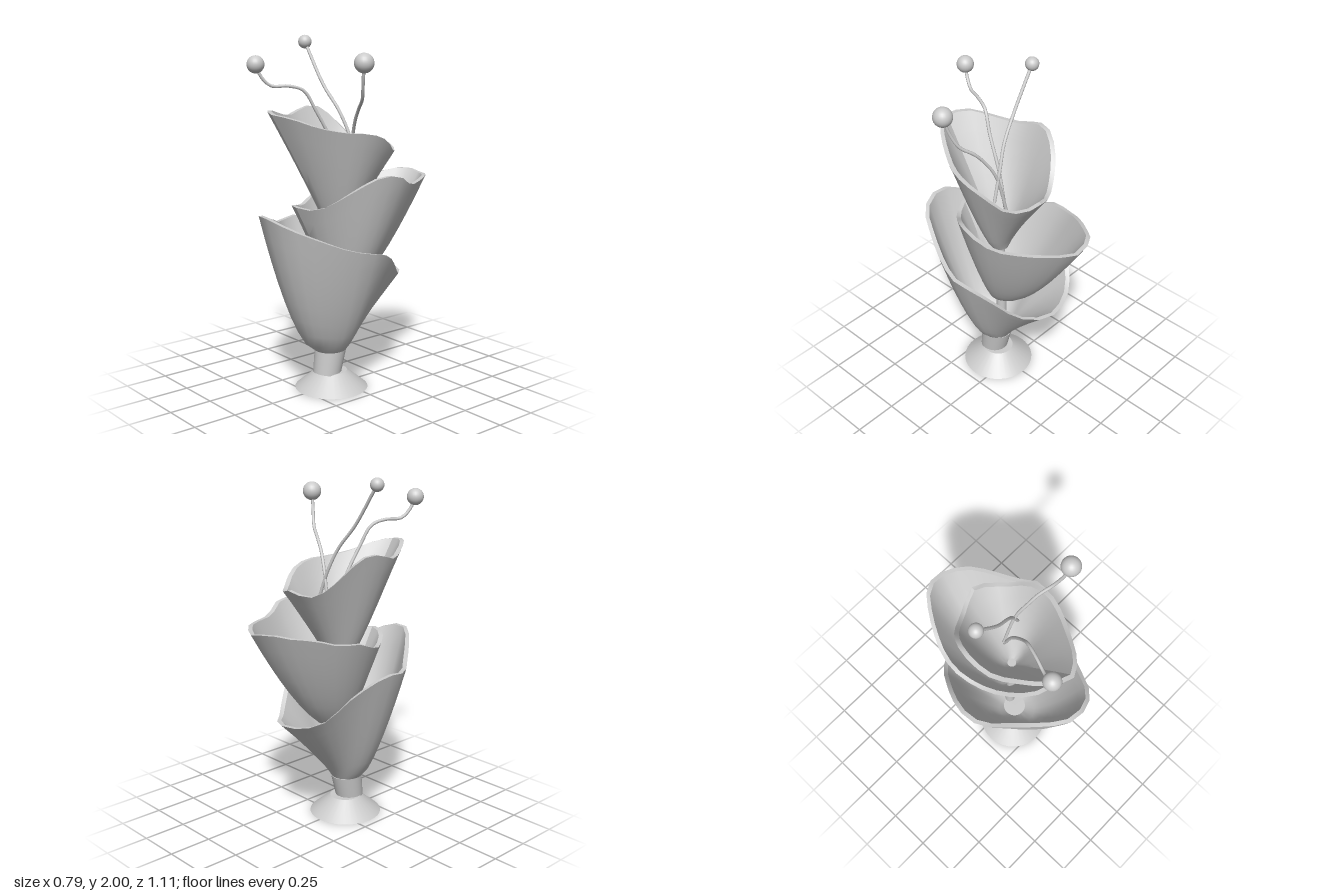
import * as THREE from 'three';
import { toCreasedNormals } from 'three/addons/utils/BufferGeometryUtils.js';

const material = new THREE.MeshStandardMaterial({ color: 0xcccccc, side: THREE.DoubleSide });
const vectors = (list) => list.map((p) => new THREE.Vector3(...p));

function add(group, name, geometry, position = [0, 0, 0]) {
  const mesh = new THREE.Mesh(geometry, material);
  mesh.name = name;
  mesh.position.set(...position);
  group.add(mesh);
  return mesh;
}

// Thick-walled flaring cup between a small round bottom and a wavy rim.
// flare = exponents of the wall profile at the front, sides and back.
function cupGeometry({ bottom, radius, flare, rim }) {
  const sides = 30, steps = 8, wall = 0.025;
  const base = new THREE.Vector3(...bottom);
  const edge = new THREE.CatmullRomCurve3(vectors(rim), true).getSpacedPoints(sides).slice(0, sides);
  const positions = [], index = [];

  const addRing = (t, inset, lift) => {
    for (const e of edge) {
      const angle = Math.atan2(e.x - base.x, e.z - base.z);
      const s = Math.sin(angle), c = Math.cos(angle);
      const power = flare[1] * s * s + (c > 0 ? flare[0] : flare[2]) * c * c;
      const f = Math.pow(t, power);
      const reach = Math.hypot(e.x - base.x, e.z - base.z);
      const r = Math.max(0, THREE.MathUtils.lerp(radius, reach, f) - inset);
      positions.push(base.x + s * r, THREE.MathUtils.lerp(base.y, e.y, t) + lift * (1 - t), base.z + c * r);
    }
  };

  addRing(0, radius, 0); // closed underside
  for (let k = 0; k <= steps; k++) addRing(Math.pow(k / steps, 1.3), 0, 0);
  for (let k = steps; k >= 0; k--) addRing(Math.pow(k / steps, 1.3), wall, 0.03);
  addRing(0, radius, 0.03); // closed floor

  const rings = positions.length / 3 / sides;
  for (let i = 0; i < rings - 1; i++) {
    for (let j = 0; j < sides; j++) {
      const k = (j + 1) % sides;
      const a = i * sides + j, b = i * sides + k, c = a + sides, d = b + sides;
      index.push(a, b, d, a, d, c);
    }
  }
  const geometry = new THREE.BufferGeometry();
  geometry.setAttribute('position', new THREE.Float32BufferAttribute(positions, 3));
  geometry.setIndex(index);
  return toCreasedNormals(geometry, 0.6);
}

const cups = {
  lowerCup: {
    bottom: [0, 0.23, 0.09], radius: 0.092, flare: [0.6, 0.74, 1.15],
    rim: [
      [0.05, 1.06, 0.555], [0.16, 1.02, 0.51], [0.25, 0.95, 0.37], [0.33, 0.88, 0.2], [0.37, 0.85, 0.06],
      [0.34, 0.82, -0.05], [0.27, 0.74, -0.16], [0.18, 0.65, -0.27], [0.06, 0.65, -0.38], [-0.1, 0.66, -0.36],
      [-0.22, 0.71, -0.29], [-0.31, 0.84, -0.17], [-0.38, 0.93, -0.03], [-0.4, 0.95, 0.08], [-0.37, 0.93, 0.18],
      [-0.28, 0.97, 0.3], [-0.16, 1.02, 0.44], [-0.05, 1.06, 0.54],
    ],
  },
  middleCup: {
    bottom: [0.02, 0.55, 0.03], radius: 0.05, flare: [1.1, 0.75, 0.7],
    rim: [
      [0.02, 1.09, 0.34], [0.12, 1.08, 0.28], [0.2, 1.13, 0.2], [0.29, 1.21, 0.1], [0.36, 1.265, 0],
      [0.385, 1.26, -0.09], [0.34, 1.2, -0.21], [0.27, 1.2, -0.35], [0.19, 1.21, -0.47], [0.05, 1.2, -0.56],
      [-0.06, 1.22, -0.54], [-0.13, 1.2, -0.47], [-0.21, 1.18, -0.35], [-0.27, 1.14, -0.22], [-0.29, 1.13, -0.1],
      [-0.26, 1.08, 0.03], [-0.2, 1.05, 0.15], [-0.1, 1.08, 0.28],
    ],
  },
  upperCup: {
    bottom: [0.015, 0.92, 0.045], radius: 0.05, flare: [1.05, 0.8, 1.2],
    rim: [
      [0, 1.6, 0.48], [0.09, 1.58, 0.42], [0.18, 1.53, 0.3], [0.26, 1.5, 0.16], [0.295, 1.49, 0.04],
      [0.28, 1.45, -0.08], [0.21, 1.37, -0.2], [0.12, 1.38, -0.28], [0.05, 1.4, -0.3], [-0.05, 1.37, -0.26],
      [-0.14, 1.41, -0.21], [-0.22, 1.5, -0.15], [-0.28, 1.59, -0.06], [-0.3, 1.6, 0.03], [-0.28, 1.56, 0.17],
      [-0.21, 1.58, 0.3], [-0.12, 1.61, 0.42],
    ],
  },
};

// Each stalk runs from inside the upper cup to its ball
const stamens = [
  { ball: 0.038, path: [[0.12, 1.3, -0.015], [0.06, 1.47, 0], [0, 1.6, 0.025], [-0.1, 1.73, 0.05], [-0.255, 1.965, 0.06]] },
  {
    ball: 0.048,
    path: [[0.03, 1.1, -0.03], [0, 1.4, 0.06], [-0.03, 1.6, 0.16], [-0.06, 1.71, 0.22],
      [-0.09, 1.737, 0.3], [-0.125, 1.74, 0.39], [-0.147, 1.79, 0.44], [-0.16, 1.855, 0.465]],
  },
  {
    ball: 0.053,
    path: [[0.02, 1.15, -0.025], [0.09, 1.45, 0], [0.15, 1.56, 0.03], [0.2, 1.62, 0.05],
      [0.27, 1.68, 0.085], [0.31, 1.77, 0.115], [0.335, 1.87, 0.13]],
  },
];

export function createModel() {
  const model = new THREE.Group();
  model.name = 'tieredCups';

  // Conical foot and slightly leaning stem
  add(model, 'foot', new THREE.CylinderGeometry(0.09, 0.21, 0.1, 32), [0, 0.05, 0.08]);
  const stem = add(model, 'stem', new THREE.CylinderGeometry(0.091, 0.08, 0.16, 32), [0, 0.165, 0.1]);
  stem.rotation.x = -0.18;

  // Three nested cups
  for (const [name, cup] of Object.entries(cups)) add(model, name, cupGeometry(cup));

  // Thin posts carrying the two higher cups
  for (const [name, low, cup] of [['middlePost', 0.24, cups.middleCup], ['upperPost', 0.56, cups.upperCup]]) {
    const [x, y, z] = cup.bottom;
    add(model, name, new THREE.CylinderGeometry(0.03, 0.03, y + 0.02 - low, 16), [x, (y + 0.02 + low) / 2, z]);
  }

  // Ball-tipped stalks
  for (const { ball, path } of stamens) {
    const stamen = new THREE.Group();
    stamen.name = 'stamen';
    add(stamen, 'stalk', new THREE.TubeGeometry(new THREE.CatmullRomCurve3(vectors(path)), 40, 0.009, 8));
    add(stamen, 'ball', new THREE.SphereGeometry(ball, 24, 16), path[path.length - 1]);
    model.add(stamen);
  }
  return model;
}
